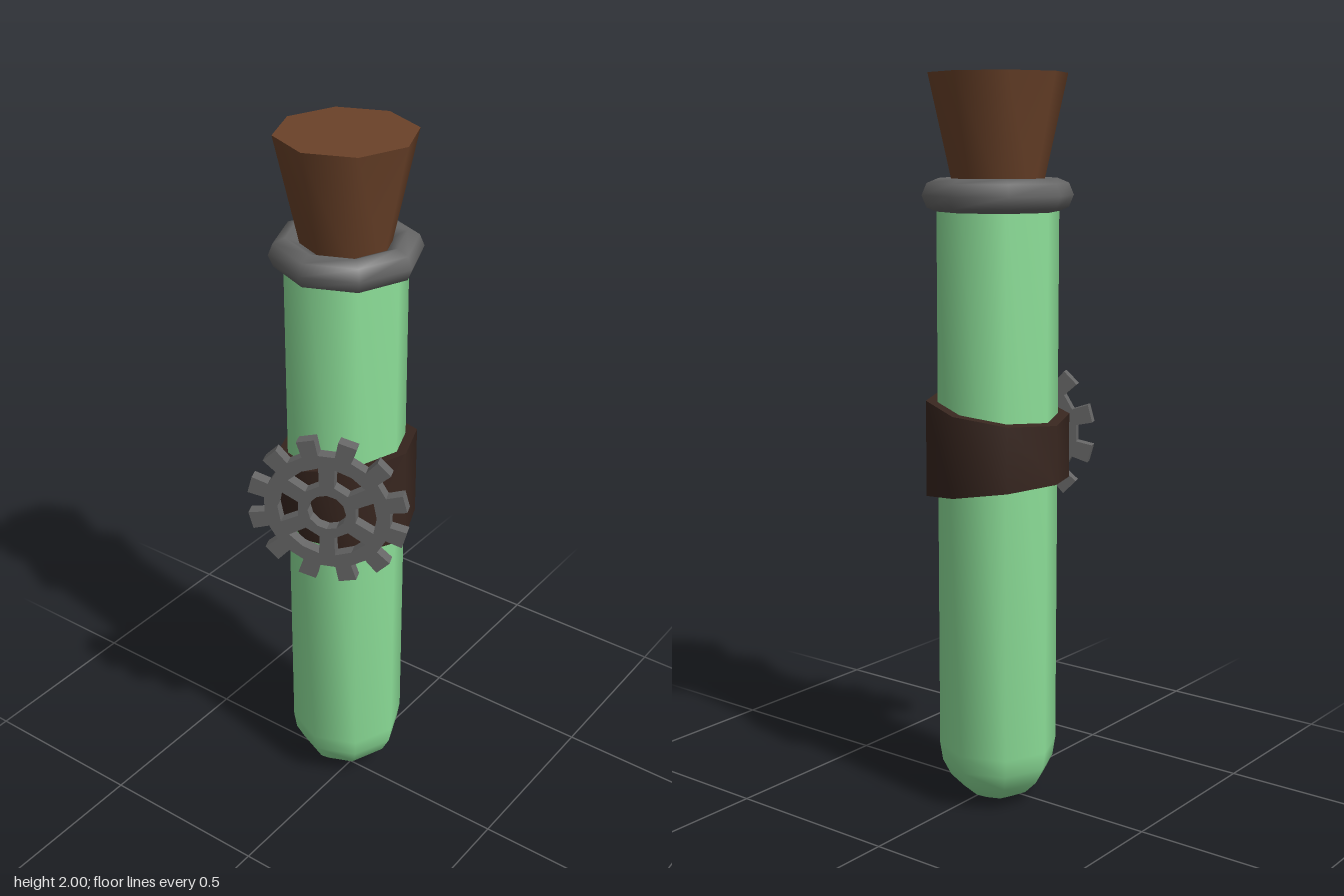
import * as THREE from 'three';
import { toCreasedNormals } from 'three/addons/utils/BufferGeometryUtils.js';

const SIDES = 8;
const v2 = (x, y) => new THREE.Vector2(x, y);
const material = (color) => new THREE.MeshStandardMaterial({ color });

function addMesh(parent, name, geometry, mat) {
  const mesh = new THREE.Mesh(geometry, mat);
  mesh.name = name;
  parent.add(mesh);
  return mesh;
}

// Eight-sided turned shape, smooth around and sharp at its rims
const turned = (points) => toCreasedNormals(new THREE.LatheGeometry(points, SIDES), 0.9);

// Closed outline of a ring sector, used for the windows between spokes
function sectorPath(r0, r1, mid, half0, half1) {
  const path = new THREE.Path();
  const at = (r, a) => [r * Math.cos(mid + a), r * Math.sin(mid + a)];
  path.moveTo(...at(r0, -half0));
  path.lineTo(...at(r1, -half1));
  path.lineTo(...at(r1, 0));
  path.lineTo(...at(r1, half1));
  path.lineTo(...at(r0, half0));
  path.closePath();
  return path;
}

// Toothed wheel with six windows and a hub hole
function gearGeometry(teeth, thickness) {
  const shape = new THREE.Shape();
  const step = (Math.PI * 2) / teeth;
  for (let i = 0; i < teeth; i++) {
    const a = (i + 0.5) * step;
    const corners = [[0.175, -0.13], [0.222, -0.115], [0.222, 0.115], [0.175, 0.13]];
    corners.forEach(([r, da], k) => {
      const x = r * Math.cos(a + da), y = r * Math.sin(a + da);
      if (i + k === 0) shape.moveTo(x, y);
      else shape.lineTo(x, y);
    });
  }
  shape.closePath();
  for (let i = 0; i < 6; i++) {
    shape.holes.push(sectorPath(0.082, 0.137, (i * Math.PI) / 3, 0.27, 0.36));
  }
  const hub = new THREE.Path();
  hub.absarc(0, 0, 0.053, 0, Math.PI * 2, true);
  shape.holes.push(hub);
  const geometry = new THREE.ExtrudeGeometry(shape, {
    depth: thickness, bevelEnabled: false, curveSegments: 6,
  });
  return geometry.translate(0, 0, -thickness / 2);
}

export function createModel() {
  const group = new THREE.Group();
  const glass = material(0x8fe39b);
  const metal = material(0x666666);
  const cork = material(0x6b4229);
  const leather = material(0x38261f);

  // Everything turned shares the vial's axis
  const vial = new THREE.Group();
  vial.name = 'vial';
  vial.position.set(-0.042, 0, -0.04);
  group.add(vial);

  // Glass tube with a rounded bottom
  const R = 0.164;
  const profile = [];
  for (let i = 0; i <= 5; i++) {
    const a = (i / 5) * (Math.PI / 2);
    profile.push(v2(R * Math.sin(a), R * (1 - Math.cos(a))));
  }
  profile.push(v2(R, 1.69), v2(0, 1.69));
  addMesh(vial, 'glassTube', turned(profile), glass);

  // Rim ring
  const rim = new THREE.TorusGeometry(0.158, 0.045, 8, SIDES).rotateX(Math.PI / 2);
  addMesh(vial, 'rimRing', rim, metal).position.y = 1.685;

  // Tapered stopper
  addMesh(vial, 'stopper', turned([v2(0, 1.67), v2(0.112, 1.67), v2(0.185, 2), v2(0, 2)]), cork);

  // Strap, growing taller toward +x where it carries the gear
  const strap = new THREE.LatheGeometry(
    [v2(0.166, -1), v2(0.196, -1), v2(0.196, 1), v2(0.166, 1), v2(0.166, -1)], SIDES);
  const p = strap.attributes.position;
  for (let i = 0; i < p.count; i++) {
    p.setY(i, p.getY(i) * (0.11 + 0.155 * p.getX(i)));
  }
  addMesh(vial, 'strap', toCreasedNormals(strap, 0.9), leather).position.y = 1.007;

  // Gear lying against one facet of the strap
  const gear = addMesh(group, 'gear', gearGeometry(12, 0.033), metal);
  gear.position.set(0.032, 1.02, 0.146);
  gear.rotation.y = Math.PI / 8;

  return group;
}
